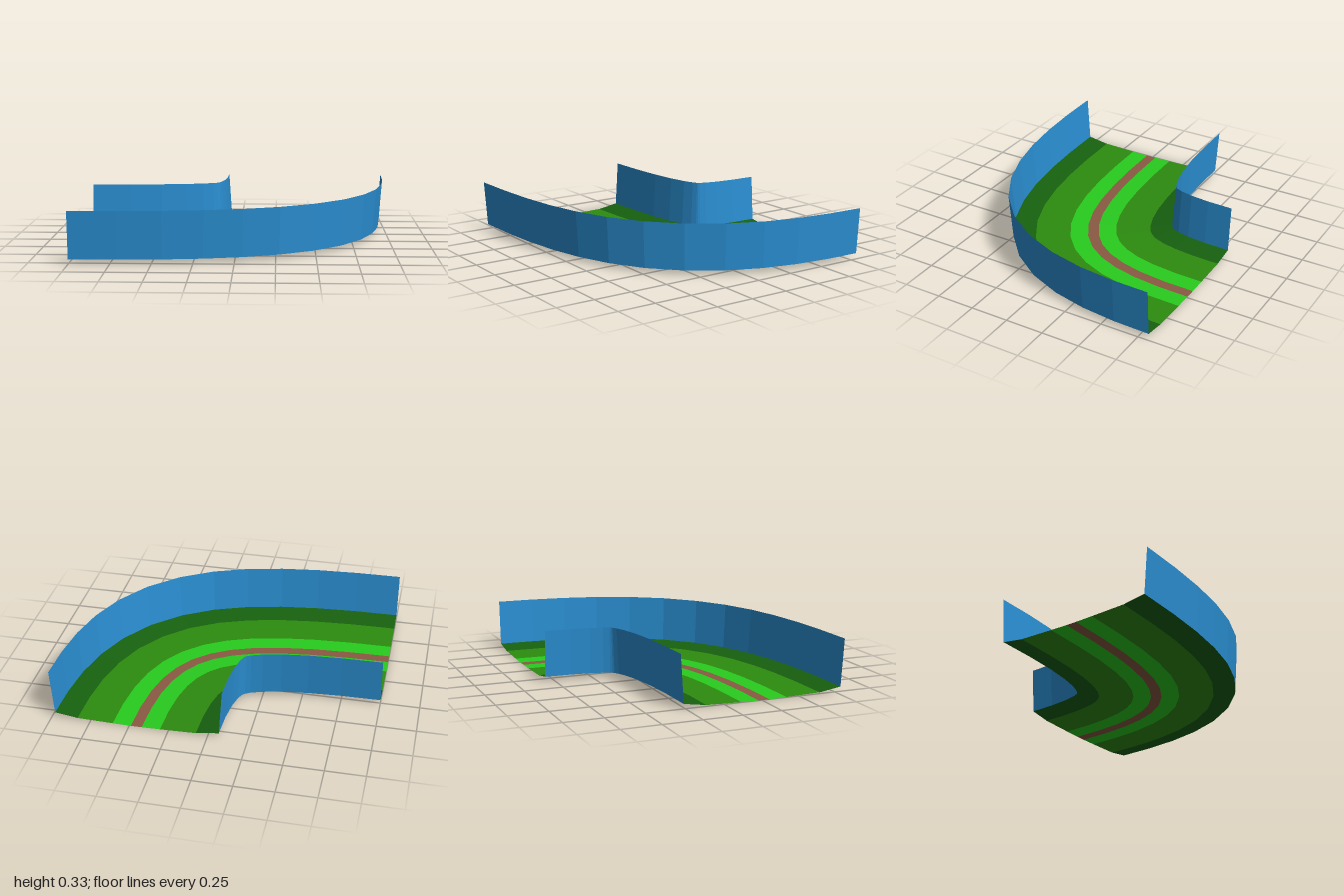
import * as THREE from 'three';

const SEGMENTS = 12;

// Centre line of the bend, drawn in plan (x, z)
const path = new THREE.CubicBezierCurve3(
  new THREE.Vector3(-1, 0, 0.265),
  new THREE.Vector3(0.178, 0, 0.265),
  new THREE.Vector3(0.455, 0, 0.06),
  new THREE.Vector3(0.455, 0, -0.81)
);

// Point on the swept section: offset is positive towards the outside of the bend
function sectionPoint(t, [offset, height]) {
  const p = path.getPoint(t);
  const d = path.getTangent(t);
  return [p.x - d.z * offset, height, p.z + d.x * offset];
}

// Ribbon between two section points, swept along the bend
function strip(name, from, to, color) {
  const positions = [];
  const index = [];
  for (let i = 0; i <= SEGMENTS; i++) {
    const t = i / SEGMENTS;
    positions.push(...sectionPoint(t, from), ...sectionPoint(t, to));
    if (i < SEGMENTS) {
      const a = i * 2;
      index.push(a, a + 1, a + 2, a + 1, a + 3, a + 2);
    }
  }
  const geometry = new THREE.BufferGeometry();
  geometry.setAttribute('position', new THREE.Float32BufferAttribute(positions, 3));
  geometry.setIndex(index);
  geometry.computeVertexNormals();
  const material = new THREE.MeshStandardMaterial({ color, flatShading: true, side: THREE.DoubleSide });
  const mesh = new THREE.Mesh(geometry, material);
  mesh.name = name;
  return mesh;
}

export function createModel() {
  const group = new THREE.Group();
  group.name = 'curvedTrack';

  // Half section as [offset, height], from the path edge up to the wall top
  const profile = [[0.035, 0], [0.152, 0.002], [0.38, 0.008], [0.525, 0.03], [0.545, 0.33]];
  const bands = [
    ['lightGrass', 0x28cc1e],
    ['midGrass', 0x2d8c0f],
    ['darkGrass', 0x17610f],
    ['wall', 0x2a8fd2],
  ];

  // Dirt path along the middle
  group.add(strip('dirtPath', [-0.035, 0], [0.035, 0], 0x8a5a42));

  // Grass bands and walls, mirrored across the path
  bands.forEach(([name, color], i) => {
    const a = profile[i];
    const b = profile[i + 1];
    group.add(strip(name + 'Outer', a, b, color));
    group.add(strip(name + 'Inner', [-b[0], b[1]], [-a[0], a[1]], color));
  });
  return group;
}
